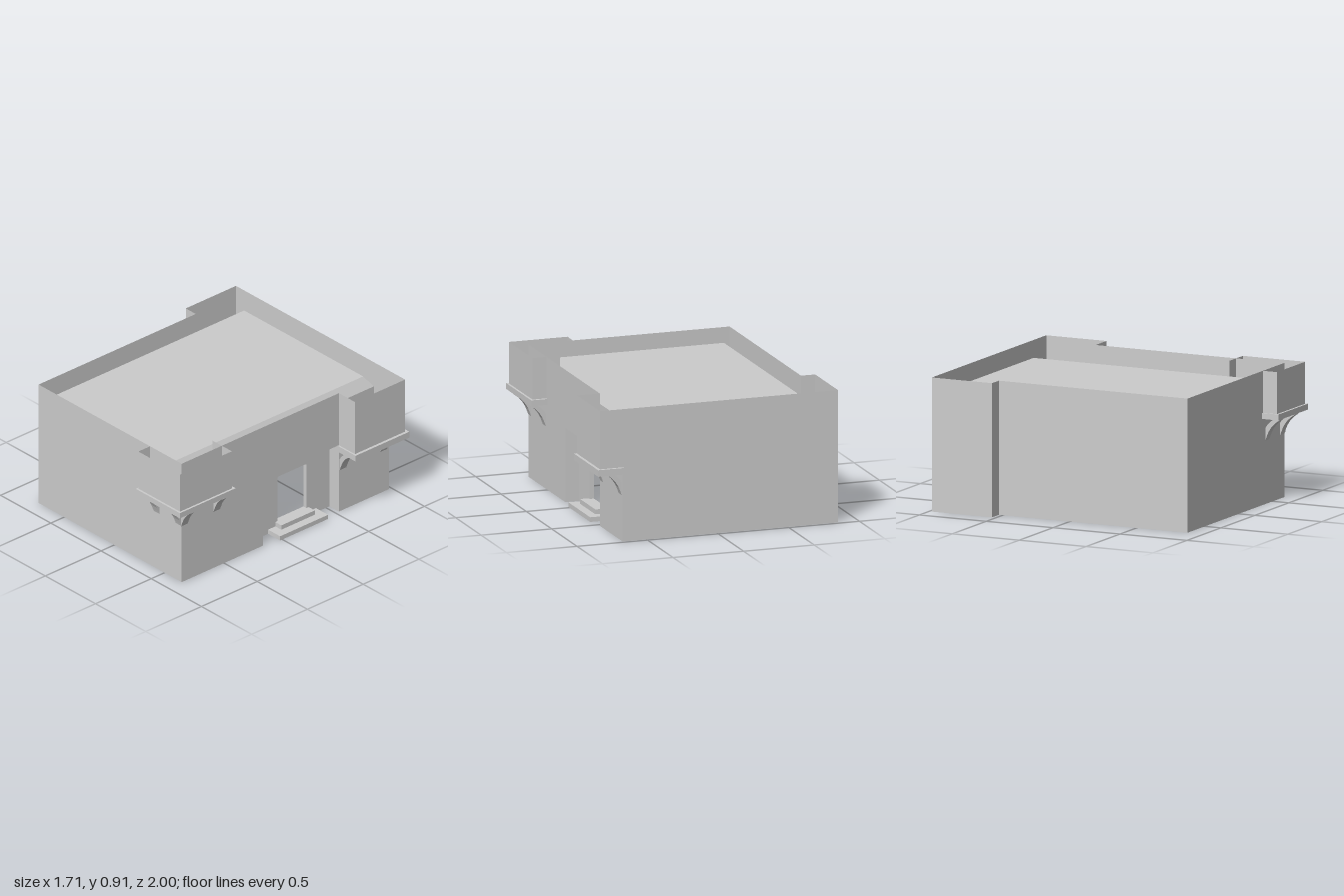
import * as THREE from 'three';

export function createModel() {
  const model = new THREE.Group();
  const stone = new THREE.MeshStandardMaterial({ color: 0xcccccc, side: THREE.DoubleSide });
  stone.name = 'light grey stone';

  function add(name, geometry, parent = model) {
    const mesh = new THREE.Mesh(geometry, stone);
    mesh.name = name;
    parent.add(mesh);
    return mesh;
  }

  // Flat four-cornered face
  function quad(name, a, b, c, d) {
    const g = new THREE.BufferGeometry();
    g.setAttribute('position', new THREE.Float32BufferAttribute([...a, ...b, ...c, ...d], 3));
    g.setIndex([0, 1, 2, 0, 2, 3]);
    g.computeVertexNormals();
    return add(name, g);
  }

  // Thin upright wall between two plan points [x, z]
  function wall(name, [ax, az], [bx, bz], y0, y1) {
    quad(name, [ax, y0, az], [bx, y0, bz], [bx, y1, bz], [ax, y1, az]);
  }

  function box(name, x0, x1, y0, y1, z0, z1) {
    add(name, new THREE.BoxGeometry(x1 - x0, y1 - y0, z1 - z0))
      .position.set((x0 + x1) / 2, (y0 + y1) / 2, (z0 + z1) / 2);
  }

  const TOP = 0.91, RIGHT = 0.67, LEFT = -0.755, FRONT = 0.88, BACK = -0.98;
  const pierX = -0.855, pierZ = -0.53;
  const porchX = 0.575, porchZ = 0.15, porchTop = 0.51;

  // Outer walls
  wall('frontWall', [LEFT, FRONT], [RIGHT, FRONT], 0, TOP);
  wall('sideWall', [LEFT, FRONT], [LEFT, pierZ], 0, TOP);
  wall('pierReturn', [LEFT, pierZ], [pierX, pierZ], 0, TOP);
  wall('pierWall', [pierX, pierZ], [pierX, BACK], 0, TOP);
  wall('backWall', [pierX, BACK], [RIGHT, BACK], 0, TOP);
  wall('entranceWall', [RIGHT, FRONT], [RIGHT, porchZ], 0, TOP);
  wall('entranceWallUpper', [RIGHT, porchZ], [RIGHT, pierZ], porchTop, TOP);
  wall('entranceWallBack', [RIGHT, pierZ], [RIGHT, BACK], 0, porchTop);

  // Recessed porch
  wall('porchSide', [RIGHT, porchZ], [porchX, porchZ], 0, porchTop);
  wall('porchSide', [porchX, pierZ], [RIGHT, pierZ], 0, porchTop);
  quad('porchCeiling', [porchX, porchTop, porchZ], [RIGHT, porchTop, porchZ],
    [RIGHT, porchTop, pierZ], [porchX, porchTop, pierZ]);

  // Walls with a doorway notch; the shape's x axis becomes -z
  const doorNear = -0.065, doorFar = -0.325, doorTop = 0.405, sill = 0.065;
  function doorWall(name, x, zNear, zFar, y0, y1) {
    const a = -doorNear, b = -doorFar, r = 0.012;
    const s = new THREE.Shape();
    s.moveTo(-zNear, y0);
    s.lineTo(a, y0);
    s.lineTo(a, doorTop - r);
    s.quadraticCurveTo(a, doorTop, a + r, doorTop);
    s.lineTo(b - r, doorTop);
    s.quadraticCurveTo(b, doorTop, b, doorTop - r);
    s.lineTo(b, y0);
    s.lineTo(-zFar, y0);
    s.lineTo(-zFar, y1);
    s.lineTo(-zNear, y1);
    const g = new THREE.ShapeGeometry(s, 4);
    g.rotateY(Math.PI / 2);
    add(name, g).position.x = x;
  }
  doorWall('porchBackWall', porchX, porchZ, pierZ, 0, porchTop);

  // Inner room with a sloped edge below its flat roof
  const room = { x0: -0.74, x1: 0.545, z0: -0.955, z1: 0.86 };
  const eaves = 0.745, roofY = 0.82, inset = 0.05;
  doorWall('roomDoorWall', room.x1, room.z1, room.z0, sill, eaves);
  wall('roomWall', [room.x0, room.z1], [room.x1, room.z1], sill, eaves);
  wall('roomWall', [room.x0, room.z0], [room.x0, room.z1], sill, eaves);
  wall('roomWall', [room.x1, room.z0], [room.x0, room.z0], sill, eaves);
  const ring = (d, y) => [
    [room.x0 + d, y, room.z1 - d], [room.x1 - d, y, room.z1 - d],
    [room.x1 - d, y, room.z0 + d], [room.x0 + d, y, room.z0 + d]];
  const low = ring(0, eaves), high = ring(inset, roofY);
  for (let i = 0; i < 4; i++) {
    const j = (i + 1) % 4;
    quad('roofSlope', low[i], low[j], high[j], high[i]);
  }
  quad('roof', ...high);

  // Doorway lining and steps
  for (const z of [doorNear, doorFar]) wall('doorJamb', [room.x1, z], [porchX, z], sill, doorTop);
  quad('doorLintel', [room.x1, doorTop, doorNear], [porchX, doorTop, doorNear],
    [porchX, doorTop, doorFar], [room.x1, doorTop, doorFar]);
  box('lowerStep', porchX, 0.695, 0, 0.032, -0.41, 0.02);
  box('upperStep', room.x1, 0.635, 0.032, sill, -0.345, -0.045);

  // Back corner turret: parapet and slab
  wall('backTurretSide', [RIGHT, pierZ], [0.83, pierZ], porchTop, TOP);
  wall('backTurretFace', [0.83, pierZ], [0.83, BACK], porchTop, TOP);
  wall('backTurretBack', [0.83, BACK], [RIGHT, BACK], porchTop, TOP);
  box('backTurretSlab', 0.665, 0.85, 0.465, 0.51, -1, -0.518);

  // Front corner turret: parapet wrapping the corner and L-shaped slab
  const plan = [[0.355, FRONT], [0.355, 0.985], [0.77, 0.985], [0.77, 0.52], [porchX, 0.52]];
  for (let i = 0; i < plan.length - 1; i++) wall('frontTurretWall', plan[i], plan[i + 1], 0.625, TOP);
  const slab = new THREE.Shape([[0.345, -1], [0.785, -1], [0.785, -0.5], [0.565, -0.5],
    [0.565, -0.87], [0.345, -0.87]].map(([x, y]) => new THREE.Vector2(x, y)));
  const slabGeometry = new THREE.ExtrudeGeometry(slab, { depth: 0.04, bevelEnabled: false });
  slabGeometry.rotateX(-Math.PI / 2);
  add('frontTurretSlab', slabGeometry).position.y = 0.585;

  // Curved bracket: x reaches out from the wall, y is up, width along z
  const arm = new THREE.Shape();
  arm.moveTo(0, 0);
  arm.lineTo(0.008, 0.022);
  arm.quadraticCurveTo(0.035, 0.105, 0.105, 0.145);
  arm.lineTo(0.105, 0.155);
  arm.lineTo(0.075, 0.155);
  arm.quadraticCurveTo(0.025, 0.13, 0, 0.085);
  const bracketGeometry = new THREE.ExtrudeGeometry(arm, { depth: 0.06, bevelEnabled: false, curveSegments: 5 });
  bracketGeometry.translate(0, 0, -0.03);
  function bracket(x, y, z, turn) {
    const m = add('bracket', bracketGeometry);
    m.position.set(x, y, z);
    m.rotation.y = turn;
  }
  for (const x of [0.42, 0.64]) bracket(x, 0.43, FRONT, -Math.PI / 2);
  for (const z of [0.855, 0.565]) bracket(RIGHT, 0.43, z, 0);
  for (const z of [-0.567, -0.932]) bracket(RIGHT, 0.315, z, 0);

  return model;
}
